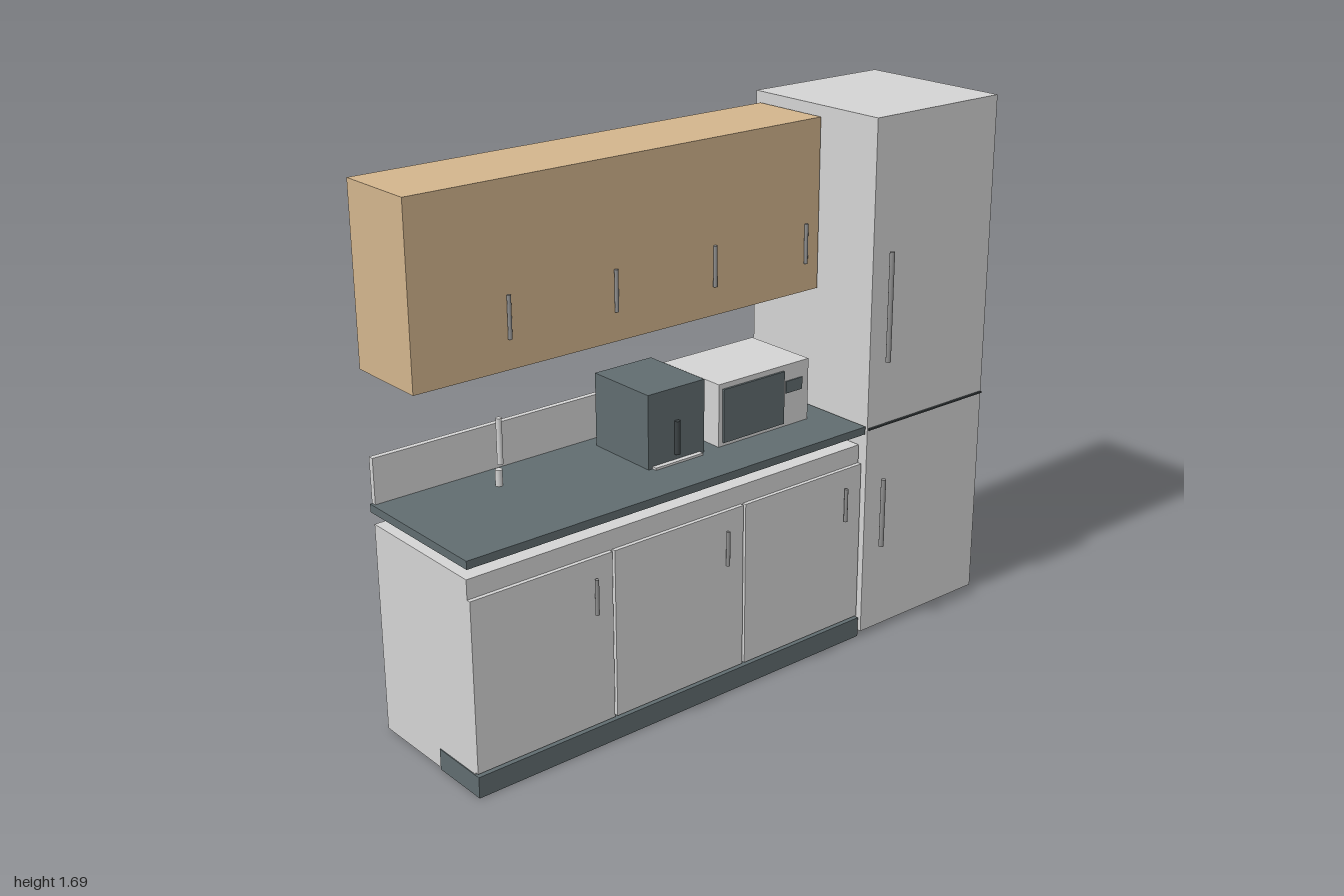
import * as THREE from 'three';

const material = (name, color) => {
  const m = new THREE.MeshStandardMaterial({ color });
  m.name = name;
  return m;
};

export function createModel() {
  const kitchen = new THREE.Group();
  kitchen.name = 'kitchen';

  const white = material('light grey enamel', 0xd3d3d3);
  const wood = material('tan wood', 0xd2b48c);
  const slate = material('dark slate', 0x606c6f);
  const metal = material('brushed metal', 0x8e8e8e);
  const dark = material('dark gap', 0x3c4244);

  // Box given by its limits on each axis
  const box = (name, mat, [x0, x1], [y0, y1], [z0, z1], parent = kitchen) => {
    const mesh = new THREE.Mesh(new THREE.BoxGeometry(x1 - x0, y1 - y0, z1 - z0), mat);
    mesh.position.set((x0 + x1) / 2, (y0 + y1) / 2, (z0 + z1) / 2);
    mesh.name = name;
    parent.add(mesh);
    return mesh;
  };

  // Upright round bar
  const bar = (name, mat, x, [y0, y1], z, radius, parent = kitchen) => {
    const mesh = new THREE.Mesh(new THREE.CylinderGeometry(radius, radius, y1 - y0, 16), mat);
    mesh.position.set(x, (y0 + y1) / 2, z);
    mesh.name = name;
    parent.add(mesh);
    return mesh;
  };

  const group = (name) => {
    const g = new THREE.Group();
    g.name = name;
    kitchen.add(g);
    return g;
  };

  // Base cabinet with three doors and a plinth along the front
  const base = group('baseCabinet');
  box('baseBody', white, [-0.99, 0.465], [0.003, 0.66], [-0.235, 0.225], base);
  box('plinth', slate, [-0.993, 0.467], [0, 0.066], [0.05, 0.245], base);
  [[-0.99, -0.514], [-0.505, -0.024], [-0.015, 0.465]].forEach((span) => {
    box('baseDoor', white, span, [0.072, 0.6], [0.225, 0.238], base);
  });
  [-0.58, -0.095, 0.39].forEach((x) => {
    bar('baseHandle', metal, x, [0.43, 0.54], 0.252, 0.006, base);
  });

  // Worktop, sink bowl and splashback
  box('worktop', slate, [-1, 0.47], [0.7, 0.725], [-0.235, 0.246]);
  box('sinkBowl', white, [-0.82, -0.48], [0.6, 0.7], [-0.12, 0.15]);
  box('splashback', white, [-0.992, 0.465], [0.725, 0.865], [-0.238, -0.22]);

  // Tap
  const tap = group('tap');
  bar('tapBase', white, -0.65, [0.725, 0.775], -0.11, 0.011, tap);
  bar('tapSpout', white, -0.65, [0.795, 0.935], -0.1, 0.009, tap);

  // Wall cabinet with handles and the strip beneath
  const wall = group('wallCabinet');
  box('wallBody', wood, [-0.995, 0.467], [1.12, 1.655], [-0.25, 0.02], wall);
  [-0.685, -0.32, 0.046, 0.411].forEach((x) => {
    bar('wallHandle', metal, x, [1.21, 1.335], 0.026, 0.006, wall);
  });
  box('lightStrip', white, [-0.92, 0.392], [1.11, 1.12], [-0.145, -0.115], wall);
  box('vent', metal, [-0.48, -0.2], [1.113, 1.12], [-0.1, -0.06], wall);

  // Fridge with two doors
  const fridge = group('fridge');
  box('fridgeBody', white, [0.477, 0.997], [0.015, 1.688], [-0.28, 0.248], fridge);
  box('doorSeam', dark, [0.479, 0.995], [0.712, 0.717], [0.245, 0.255], fridge);
  [[0.31, 0.54], [0.93, 1.28]].forEach((span) => {
    bar('fridgeHandle', metal, 0.532, span, 0.273, 0.008, fridge);
  });

  // Coffee machine
  const coffee = group('coffeeMachine');
  box('coffeeBody', slate, [-0.255, -0.042], [0.725, 0.957], [-0.17, 0.08], coffee);
  box('dripTray', white, [-0.24, -0.06], [0.725, 0.732], [0.08, 0.096], coffee);
  bar('coffeeHandle', dark, -0.15, [0.75, 0.855], 0.086, 0.009, coffee);

  // Microwave
  const oven = group('microwave');
  box('ovenBody', white, [0.015, 0.38], [0.725, 0.925], [-0.18, 0.08], oven);
  box('ovenDoor', slate, [0.03, 0.275], [0.737, 0.908], [0.08, 0.087], oven);
  box('ovenPanel', slate, [0.285, 0.352], [0.833, 0.872], [0.08, 0.084], oven);

  return kitchen;
}
